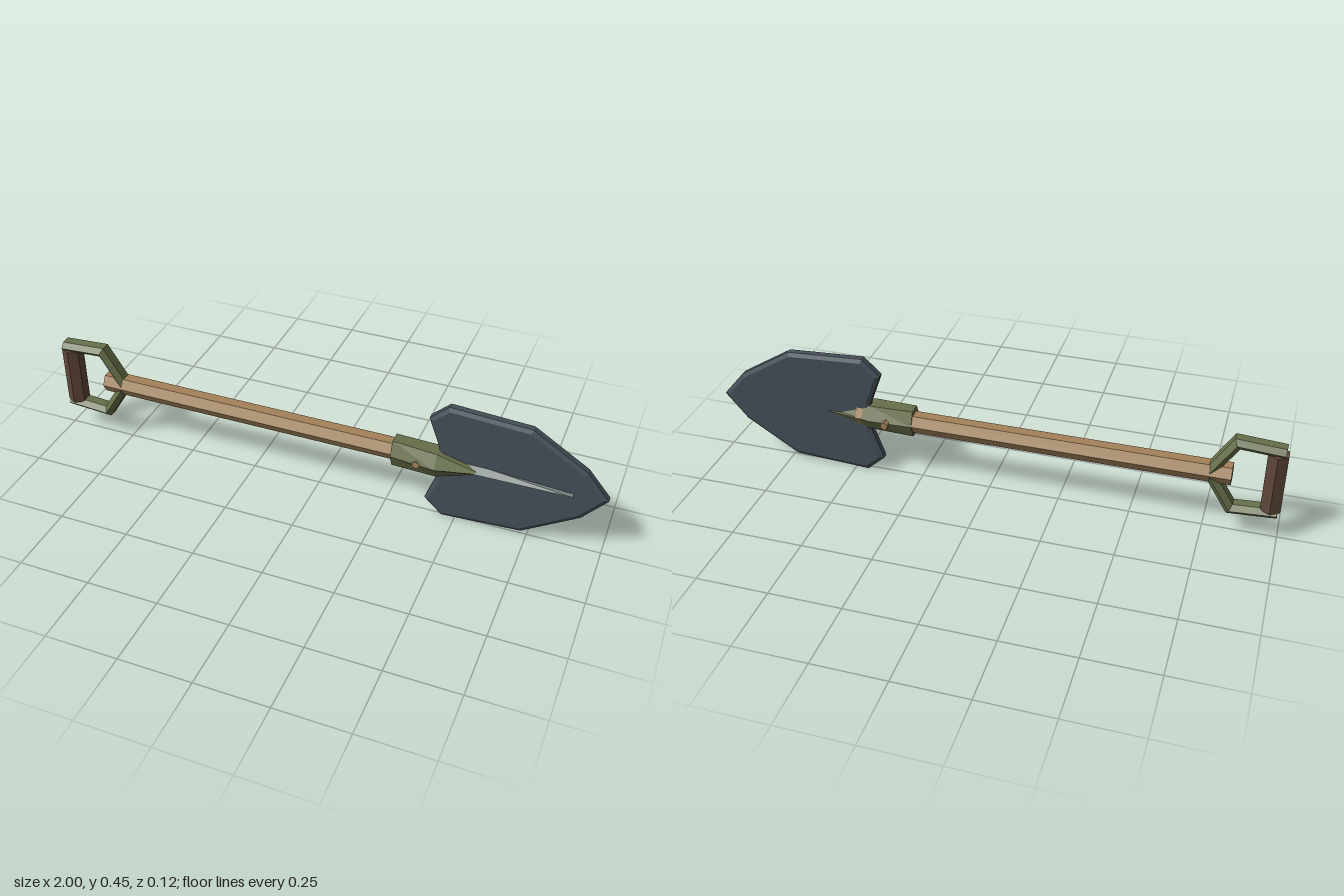
import * as THREE from 'three';

const CY = 0.228; // height of the shaft axis
const CZ = -0.004; // depth of the shaft axis

const mat = (name, color) => {
  const m = new THREE.MeshStandardMaterial({ color });
  m.name = name;
  return m;
};

// Faceted skin through rings of points, closed with a cap at both ends.
function loft(rings) {
  const n = rings[0].length;
  const pos = rings.flat().flat();
  const idx = [];
  for (let i = 0; i < rings.length - 1; i++) {
    for (let j = 0; j < n; j++) {
      const a = i * n + j, b = i * n + ((j + 1) % n);
      idx.push(a, b, b + n, a, b + n, a + n);
    }
  }
  const last = (rings.length - 1) * n;
  for (let j = 1; j < n - 1; j++) {
    idx.push(0, j + 1, j, last, last + j, last + j + 1);
  }
  const g = new THREE.BufferGeometry();
  g.setAttribute('position', new THREE.Float32BufferAttribute(pos, 3));
  g.setIndex(idx);
  return facet(g);
}

function facet(g) {
  const flat = g.index ? g.toNonIndexed() : g;
  flat.computeVertexNormals();
  return flat;
}

// Hexagon outline as [across, depth] pairs with corners at front and back.
const HEX = [[0, 1], [-1, 0.5], [-1, -0.5], [0, -1], [1, -0.5], [1, 0.5]];

export function createModel() {
  const group = new THREE.Group();
  const wood = mat('wood', 0xa38259);
  const darkWood = mat('darkWood', 0x5e4638);
  const green = mat('greenMetal', 0x666f49);
  const steel = mat('bladeSteel', 0x454f58);
  const paleSteel = mat('ridgeSteel', 0x737d7b);

  const add = (name, geometry, material) => {
    const mesh = new THREE.Mesh(geometry, material);
    mesh.name = name;
    group.add(mesh);
    return mesh;
  };

  // Hexagonal shaft, its end just breaking through the back of the socket
  add('shaft', loft([-0.83, 0.48].map((x) =>
    HEX.map(([y, z]) => [x, CY + y * 0.033, CZ + z * 0.038]))), wood);

  // Yoke: one hexagonal bar swept with mitred corners around the handle
  const arm = [[-0.99, 0.118], [-0.835, 0.128], [-0.755, 0]];
  const path = [...arm, ...arm.slice(0, 2).reverse().map(([x, y]) => [x, -y])]
    .map(([x, y]) => new THREE.Vector2(x, y));
  const yoke = path.map((p, i) => {
    const normals = [];
    if (i > 0) normals.push(p.clone().sub(path[i - 1]).normalize());
    if (i < path.length - 1) normals.push(path[i + 1].clone().sub(p).normalize());
    normals.forEach((d) => d.set(-d.y, d.x));
    const m = normals[0].clone();
    if (normals[1]) m.add(normals[1]).normalize();
    m.multiplyScalar(0.018 / m.dot(normals[0]));
    return HEX.map(([a, z]) => [p.x + a * m.x, CY + p.y + a * m.y, CZ + z * 0.034]);
  });
  add('handleYoke', loft(yoke), green);

  // Hexagonal grip between the yoke arms
  const grip = add('grip', facet(new THREE.CylinderGeometry(0.038, 0.038, 0.218, 6)), darkWood);
  grip.position.set(-0.966, CY - 0.002, CZ);

  // Socket: [x, half height, back z, front z], tapering onto the blade
  const socket = [
    [0.272, 0.05, -0.044, 0.046],
    [0.43, 0.046, -0.048, 0.062],
    [0.59, 0.004, -0.024, 0.026],
  ].map(([x, h, back, front]) => {
    const mid = (back + front) / 2, r = (front - back) / 2;
    return HEX.map(([y, z]) => [x, CY + y * h, mid + z * r]);
  });
  add('socket', loft(socket), green);

  // Rivet through the socket
  const rivet = add('rivet', facet(new THREE.CylinderGeometry(0.014, 0.014, 0.118, 6)), wood);
  rivet.rotation.x = Math.PI / 2;
  rivet.position.set(0.365, CY - 0.002, -0.003);

  // Blade: mirrored outline with a bevelled rim
  const bevel = 0.014;
  const half = [[0.445, 0.055], [0.406, 0.163], [0.458, 0.211],
    [0.725, 0.196], [0.908, 0.082]];
  const outline = [...half, [0.978, 0], ...half.slice().reverse().map(([x, y]) => [x, -y])];
  const shape = new THREE.Shape(outline.map(([x, y]) => new THREE.Vector2(x, y)));
  const blade = new THREE.ExtrudeGeometry(shape, {
    depth: 0.022, bevelEnabled: true, bevelSize: bevel,
    bevelThickness: 0.0075, bevelSegments: 1,
  });
  add('blade', facet(blade), steel).position.set(0, CY, CZ - 0.011);

  // Raised ridge down the front of the blade: [x, half width, front z]
  const ridge = [[0.43, 0.034, 0.035], [0.885, 0.004, 0.03]].map(([x, h, z]) =>
    [[x, CY, z], [x, CY - h, 0.005], [x, CY + h, 0.005]]);
  add('bladeRidge', loft(ridge), paleSteel);

  return group;
}
